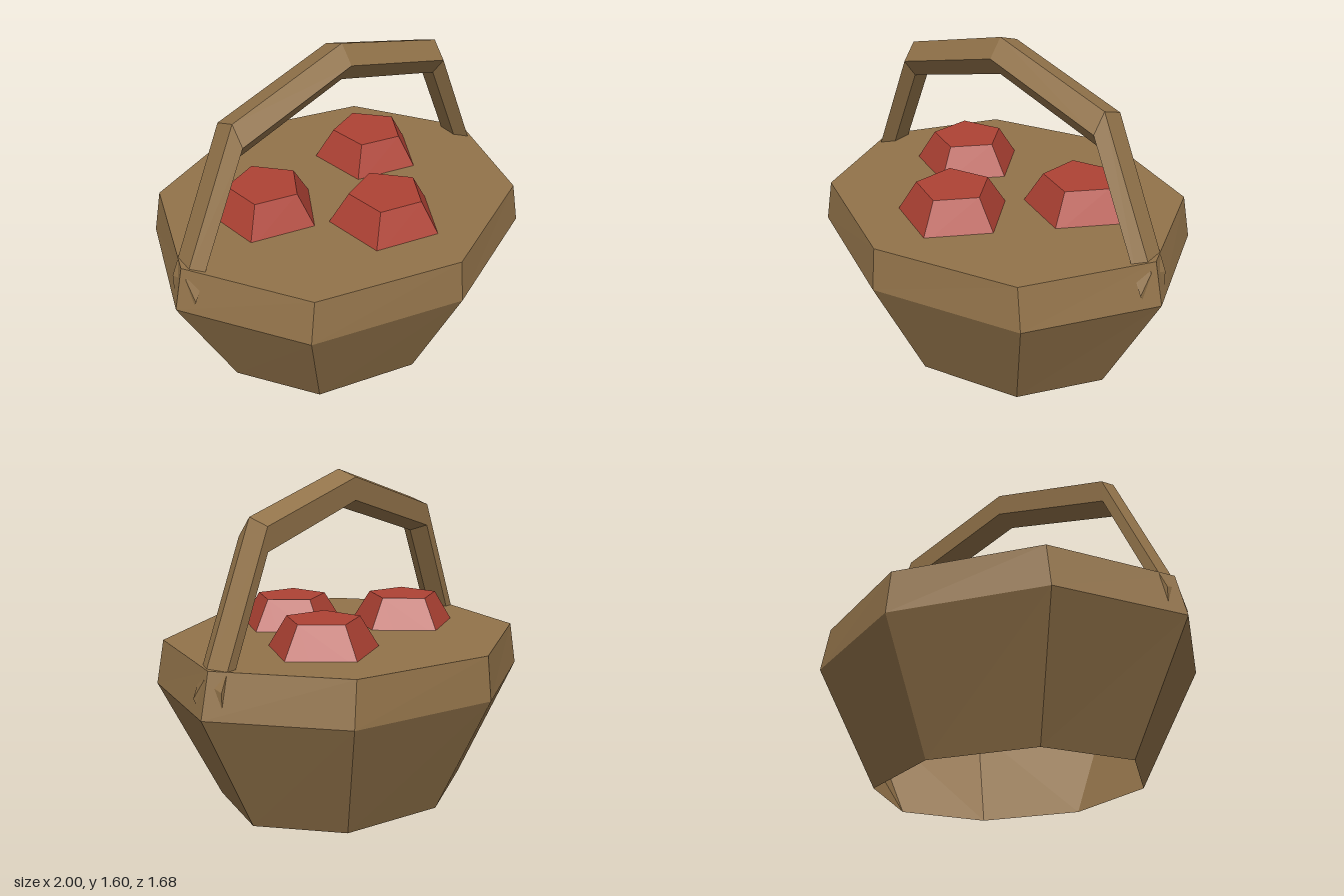
import * as THREE from 'three';

// Flat-faced skin over a list of equal-length point rings, optionally capped at both ends
function loft(rings, capped = false) {
  const pos = [];
  const tri = (...points) => points.forEach((p) => pos.push(...p));
  const n = rings[0].length;
  for (let r = 0; r < rings.length - 1; r++) {
    for (let i = 0; i < n; i++) {
      const j = (i + 1) % n;
      const [a, b, c, d] = [rings[r][i], rings[r][j], rings[r + 1][j], rings[r + 1][i]];
      tri(a, b, c);
      tri(a, c, d);
    }
  }
  if (capped) {
    const first = rings[0], last = rings[rings.length - 1];
    for (let i = 1; i < n - 1; i++) {
      tri(first[0], first[i + 1], first[i]);
      tri(last[0], last[i], last[i + 1]);
    }
  }
  const geo = new THREE.BufferGeometry();
  geo.setAttribute('position', new THREE.Float32BufferAttribute(pos, 3));
  geo.computeVertexNormals();
  return geo;
}

// Horizontal eight-sided oval
function octagon(rx, rz, y) {
  return Array.from({ length: 8 }, (_, i) => {
    const a = (i * Math.PI) / 4;
    return [rx * Math.cos(a), y, -rz * Math.sin(a)];
  });
}

export function createModel() {
  const wicker = new THREE.MeshStandardMaterial({ color: 0x92734a });
  wicker.name = 'wickerBrown';
  wicker.side = THREE.DoubleSide;
  const red = new THREE.MeshStandardMaterial({ color: 0xae4234 });
  red.name = 'fruitRed';

  const group = new THREE.Group();
  group.name = 'fruitBasket';
  const add = (name, geo, mat) => {
    const mesh = new THREE.Mesh(geo, mat);
    mesh.name = name;
    group.add(mesh);
    return mesh;
  };

  // Flared walls with an inward-leaning rim, open underneath
  const rim = octagon(0.95, 0.82, 0.8);
  add('basketWalls', loft([octagon(0.69, 0.56, 0), octagon(1, 0.842, 0.59), rim]), wicker);

  // Flat top surface
  add('basketTop', loft([rim, octagon(0, 0, 0.8)]), wicker);

  // Five-sided handle, its sections kept upright along the arch
  const arch = [[0.95, 0.66], [0.64, 1.335], [0, 1.513], [-0.64, 1.335], [-0.95, 0.66]];
  const sections = arch.map(([x, y]) =>
    Array.from({ length: 5 }, (_, i) => {
      const a = (i * 2 * Math.PI) / 5;
      return [x, y + 0.095 * Math.sin(a), 0.095 * Math.cos(a)];
    }));
  add('handle', loft(sections, true), wicker);

  // Fruits: twelve-sided solids resting on a face, half sunk into the top
  const fruit = new THREE.DodecahedronGeometry(0.297);
  fruit.rotateX(-Math.atan(2 / (1 + Math.sqrt(5))));
  fruit.rotateY(Math.PI / 2);
  [[0, 0.34], [0.36, -0.155], [-0.38, -0.1]].forEach(([x, z], i) => {
    add(`fruit${i + 1}`, fruit, red).position.set(x, 0.714, z);
  });

  return group;
}
